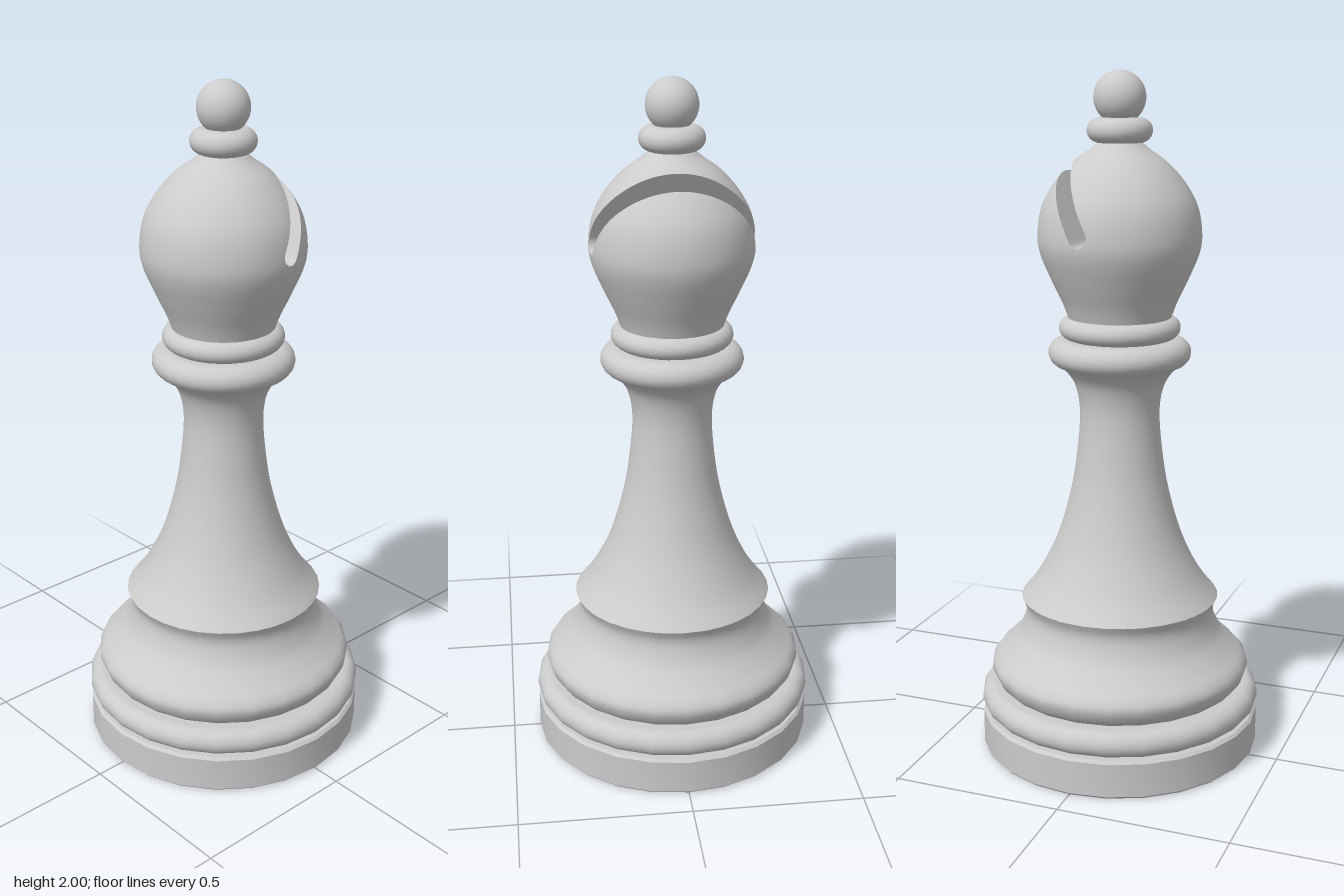
import * as THREE from 'three';
import { toCreasedNormals } from 'three/addons/utils/BufferGeometryUtils.js';

const material = new THREE.MeshStandardMaterial({ color: 0xcccccc });
const V2 = (x, y) => new THREE.Vector2(x, y);

function add(group, name, geometry) {
  const mesh = new THREE.Mesh(geometry, material);
  mesh.name = name;
  group.add(mesh);
  return mesh;
}

// Smooth profile through [radius, height] points, bottom to top
const smooth = (pts, n) => new THREE.SplineCurve(pts.map(p => V2(...p))).getPoints(n);

// Rounded ring: half-ellipse profile closed toward the axis
function ring(y, outer, halfHeight, bulge, segments) {
  const pts = [];
  for (let i = 0; i <= 14; i++) {
    const a = -Math.PI / 2 + Math.PI * i / 14;
    pts.push(V2(outer - bulge + bulge * Math.cos(a), y + halfHeight * Math.sin(a)));
  }
  pts.unshift(V2(0.03, y - halfHeight));
  pts.push(V2(0.03, y + halfHeight));
  return new THREE.LatheGeometry(pts, segments);
}

// Head profile and its radius at any height
const headProfile = smooth([[0.146, 1.3], [0.164, 1.35], [0.196, 1.418], [0.226, 1.49], [0.234, 1.545],
  [0.223, 1.62], [0.19, 1.685], [0.138, 1.745], [0.085, 1.784], [0.055, 1.81]], 44);

function headRadius(y) {
  for (let i = 1; i < headProfile.length; i++) {
    const a = headProfile[i - 1], b = headProfile[i];
    if (y <= b.y) return a.x + (b.x - a.x) * (y - a.y) / (b.y - a.y);
  }
  return 0;
}

// Slanted slot: a U shape in the xy plane, running through along z
const slotBase = V2(0.038, 1.556), slotHalf = 0.028;
const along = V2(0.48, 0.877).normalize(), across = V2(along.y, -along.x);
const slotPoint = (u, t) => slotBase.clone().addScaledVector(across, u).addScaledVector(along, t);

const arc = [];
for (let i = 0; i <= 10; i++) {
  const a = Math.PI * i / 10;
  arc.push(slotPoint(-slotHalf * Math.cos(a), -slotHalf * Math.sin(a)));
}

// Head surface with everything inside the slot cut away
function slottedHead() {
  const lathe = new THREE.LatheGeometry(headProfile, 64).toNonIndexed();
  const P = lathe.attributes.position, N = lathe.attributes.normal;
  const outline = [slotPoint(-slotHalf, 1), ...arc, slotPoint(slotHalf, 1)];
  const pos = [], nor = [];
  const emit = poly => {
    for (let i = 2; i < poly.length; i++) {
      for (const v of [poly[0], poly[i - 1], poly[i]]) {
        pos.push(...v.p.toArray());
        nor.push(...v.n.toArray());
      }
    }
  };
  for (let f = 0; f < P.count; f += 3) {
    let rest = [0, 1, 2].map(k => ({
      p: new THREE.Vector3().fromBufferAttribute(P, f + k),
      n: new THREE.Vector3().fromBufferAttribute(N, f + k),
    }));
    // Skip triangles wholly clear of one slot edge, otherwise split along each edge
    const side = (v, a, b) => (b.x - a.x) * (v.p.y - a.y) - (b.y - a.y) * (v.p.x - a.x);
    const edges = outline.slice(1).map((b, i) => [outline[i], b]);
    if (edges.some(([a, b]) => rest.every(v => side(v, a, b) <= 0))) { emit(rest); continue; }
    for (const [a, b] of edges) {
      const inside = [], outside = [];
      rest.forEach((v, i) => {
        const w = rest[(i + 1) % rest.length];
        const dv = side(v, a, b), dw = side(w, a, b);
        (dv > 0 ? inside : outside).push(v);
        if ((dv > 0) !== (dw > 0)) {
          const t = dv / (dv - dw);
          const m = { p: v.p.clone().lerp(w.p, t), n: v.n.clone().lerp(w.n, t).normalize() };
          inside.push(m);
          outside.push(m);
        }
      });
      emit(outside);
      rest = inside;
      if (rest.length < 3) break;
    }
  }
  const g = new THREE.BufferGeometry();
  g.setAttribute('position', new THREE.Float32BufferAttribute(pos, 3));
  g.setAttribute('normal', new THREE.Float32BufferAttribute(nor, 3));
  return g;
}

// Inner walls of the slot: a strip spanning the head's depth along the U
function slotWalls() {
  const wall = u => {
    let lo = 0, hi = 0.4;
    for (let i = 0; i < 40; i++) {
      const t = (lo + hi) / 2, p = slotPoint(u, t);
      if (headRadius(p.y) > p.x) lo = t; else hi = t;
    }
    const pts = [];
    for (let i = 1; i <= 24; i++) pts.push(slotPoint(u, lo * (1 - (1 - i / 24) ** 2)));
    return pts;
  };
  const path = [...wall(-slotHalf).reverse(), ...arc, ...wall(slotHalf)];
  const pos = [], index = [];
  path.forEach((p, i) => {
    const w = Math.sqrt(Math.max(0, headRadius(p.y) ** 2 - p.x ** 2));
    pos.push(p.x, p.y, -w, p.x, p.y, w);
    if (i) {
      const a = 2 * i - 2;
      index.push(a, a + 1, a + 3, a, a + 3, a + 2);
    }
  });
  const g = new THREE.BufferGeometry();
  g.setAttribute('position', new THREE.Float32BufferAttribute(pos, 3));
  g.setIndex(index);
  g.computeVertexNormals();
  return g;
}

export function createModel() {
  const model = new THREE.Group();
  model.name = 'chessBishop';

  // Base
  const plinth = [[0, 0], [0.41, 0], [0.418, 0.008], [0.418, 0.108], [0.41, 0.116], [0, 0.116]];
  add(model, 'plinth', toCreasedNormals(
    new THREE.LatheGeometry(plinth.map(p => V2(...p)), 24), 0.6));
  add(model, 'baseRing', ring(0.157, 0.42, 0.04, 0.04, 24));
  add(model, 'bell', new THREE.LatheGeometry(smooth([[0.345, 0.19], [0.372, 0.212], [0.388, 0.25],
    [0.377, 0.28], [0.344, 0.312], [0.306, 0.355], [0.286, 0.4], [0.283, 0.435], [0.295, 0.466]], 36), 24));

  // Stem
  add(model, 'stem', new THREE.LatheGeometry(smooth([[0.295, 0.466], [0.243, 0.534], [0.186, 0.65],
    [0.143, 0.8], [0.122, 0.94], [0.117, 1.04], [0.13, 1.11], [0.156, 1.152], [0.185, 1.175]], 36), 32));

  // Collars under the head
  add(model, 'lowerCollar', ring(1.207, 0.207, 0.041, 0.045, 32));
  add(model, 'upperCollar', ring(1.279, 0.176, 0.032, 0.035, 32));

  // Slotted head
  const head = new THREE.Group();
  head.name = 'head';
  add(head, 'headShell', slottedHead());
  add(head, 'slotWalls', slotWalls());
  model.add(head);

  // Finial
  add(model, 'finialRing', ring(1.836, 0.093, 0.035, 0.037, 32));
  add(model, 'finialBall', new THREE.SphereGeometry(0.074, 32, 20)).position.y = 1.926;

  return model;
}
